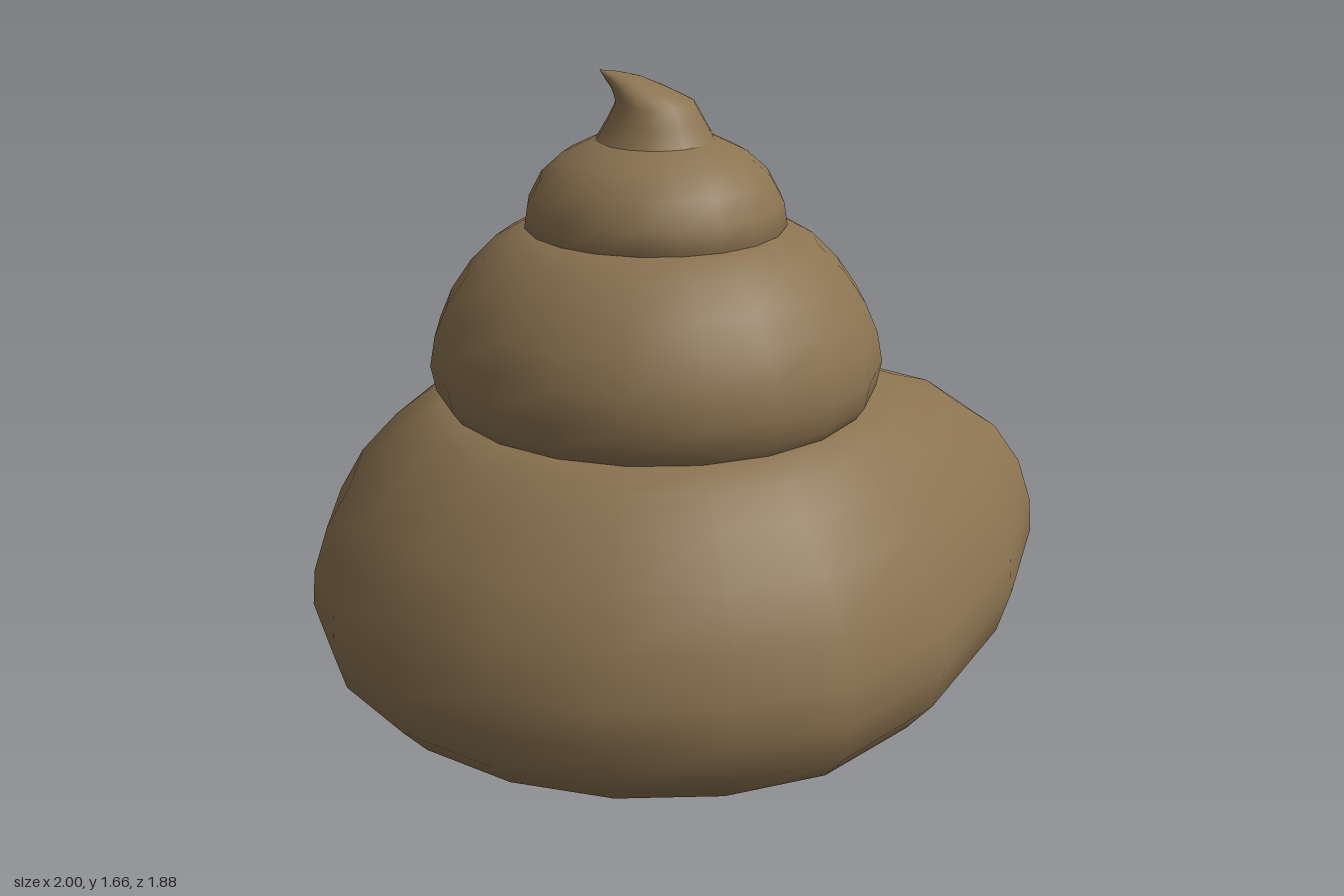
import * as THREE from 'three';

const SIDES = 20;
const CENTRE_X = -0.06;

// Skins a stack of rings, listed bottom to top, with smooth shared normals.
// point(ring, i, cos, sin) returns [x, y, z].
function loft(name, rings, point, material) {
  const positions = [];
  const index = [];
  rings.forEach((ring, j) => {
    for (let i = 0; i < SIDES; i++) {
      const a = (i / SIDES) * Math.PI * 2;
      positions.push(...point(ring, i, Math.cos(a), Math.sin(a)));
      if (j === 0) continue;
      const next = (i + 1) % SIDES;
      const low = (j - 1) * SIDES;
      const high = j * SIDES;
      index.push(low + i, high + i, low + next, low + next, high + i, high + next);
    }
  });
  const geometry = new THREE.BufferGeometry();
  geometry.setAttribute('position', new THREE.Float32BufferAttribute(positions, 3));
  geometry.setIndex(index);
  geometry.computeVertexNormals();
  const mesh = new THREE.Mesh(geometry, material);
  mesh.name = name;
  return mesh;
}

// Sideways [x, z] push of the columns that form the coil's loose end
const BULGE = {
  0: [0.12, -0.44], 1: [0.08, -0.29], 2: [0.02, -0.09],
  19: [0.07, -0.35], 18: [0.02, -0.11], 17: [0, 0.02],
};

// Ring of a coil: [radius, height, bulge weight]; tilt raises the front
const coilPoint = (tilt) => ([r, y, w = 0], i, c, s) => {
  const [bx, bz] = BULGE[i] || [0, 0];
  const z = r * s + bz * w;
  return [CENTRE_X + r * c + bx * w, y + tilt * z, z];
};

export function createModel() {
  const group = new THREE.Group();
  group.name = 'swirledPile';
  const brown = new THREE.MeshStandardMaterial({ color: 0x8b7350 });

  // Bottom coil with its loose end at the back left
  group.add(loft('bottomCoil', [
    [0, 0.035, 0], [0.4, 0.033, 0.15], [0.74, 0.03, 0.45], [0.84, 0.07, 0.7],
    [0.91, 0.15, 0.92], [0.94, 0.26, 1], [0.93, 0.36, 1], [0.89, 0.48, 1],
    [0.82, 0.6, 0.92], [0.72, 0.71, 0.7], [0.64, 0.775, 0.35], [0.57, 0.815, 0.05],
    [0.4, 0.85, 0],
  ], coilPoint(0.035), brown));

  // Middle coil
  group.add(loft('middleCoil', [
    [0.5, 0.77], [0.555, 0.81], [0.582, 0.85], [0.595, 0.92], [0.58, 1.0],
    [0.545, 1.08], [0.49, 1.16], [0.42, 1.23], [0.34, 1.275], [0.2, 1.3],
  ], coilPoint(0.03), brown));

  // Top coil
  group.add(loft('topCoil', [
    [0.31, 1.24], [0.34, 1.28], [0.33, 1.34], [0.295, 1.405], [0.24, 1.455],
    [0.16, 1.495], [0.1, 1.51],
  ], coilPoint(0.01), brown));

  // Curled tip: [left x, left y, right x, right y, half depth]
  group.add(loft('curledTip', [
    [-0.24, 1.465, 0.12, 1.465, 0.18], [-0.21, 1.5, 0.09, 1.5, 0.15],
    [-0.18, 1.55, 0.065, 1.545, 0.13], [-0.16, 1.59, 0.04, 1.59, 0.107],
    [-0.163, 1.607, -0.025, 1.622, 0.085], [-0.17, 1.625, -0.095, 1.652, 0.055],
    [-0.185, 1.645, -0.15, 1.664, 0.025], [-0.2, 1.668, -0.2, 1.668, 0],
  ], ([lx, ly, rx, ry, d], i, c, s) => [
    (lx + rx) / 2 + (c * (rx - lx)) / 2,
    (ly + ry) / 2 + (c * (ry - ly)) / 2,
    d * s,
  ], brown));

  return group;
}
